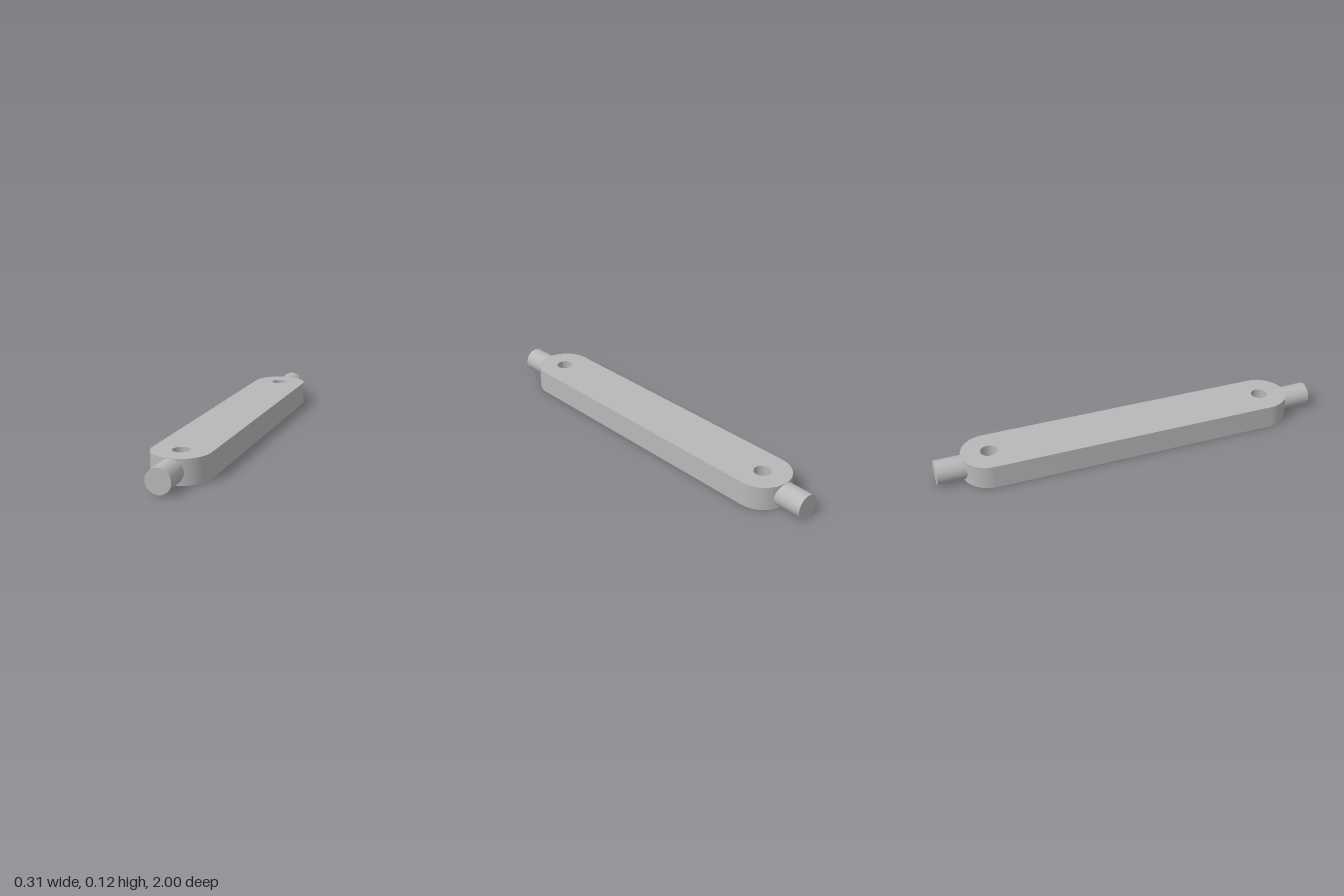
import * as THREE from 'three';
import { toCreasedNormals } from 'three/addons/utils/BufferGeometryUtils.js';

const THICK = 0.121, HALF = 0.73, RADIUS = 0.139, HOLE = 0.042, PIN = 0.06;
const YAW = -0.0226; // the bar sits slightly turned about y

export function createModel() {
  const model = new THREE.Group();
  model.name = 'linkBar';
  const steel = new THREE.MeshStandardMaterial({ color: 0xb8b8b8 });
  steel.name = 'grey steel';

  // Rounded bar with a through hole near each end
  const outline = new THREE.Shape();
  outline.absarc(0, HALF, RADIUS, 0, Math.PI, false);
  outline.absarc(0, -HALF, RADIUS, Math.PI, 2 * Math.PI, false);
  outline.closePath();
  for (const end of [1, -1]) {
    const hole = new THREE.Path();
    hole.absarc(0, end * HALF, HOLE, 0, 2 * Math.PI, true);
    outline.holes.push(hole);
  }
  const barGeometry = new THREE.ExtrudeGeometry(outline, {
    depth: THICK, bevelEnabled: false, curveSegments: 32,
  });
  barGeometry.rotateX(-Math.PI / 2);
  const bar = new THREE.Mesh(toCreasedNormals(barGeometry, 0.6), steel);
  bar.name = 'bar';
  bar.rotation.y = YAW;
  model.add(bar);

  // Round pins projecting from both ends, starting inside the bar
  const inner = 0.8, length = 1 - inner;
  const pinGeometry = new THREE.CylinderGeometry(PIN, PIN, length, 48);
  pinGeometry.rotateX(Math.PI / 2);
  const addPin = (name, x, z, yaw) => {
    const pin = new THREE.Mesh(pinGeometry, steel);
    pin.name = name;
    pin.position.set(x, PIN, z);
    pin.rotation.y = yaw;
    model.add(pin);
  };
  addPin('frontPin', -0.017, inner + length / 2, 0);
  addPin('backPin', 0.019, -inner - length / 2, YAW);

  return model;
}
